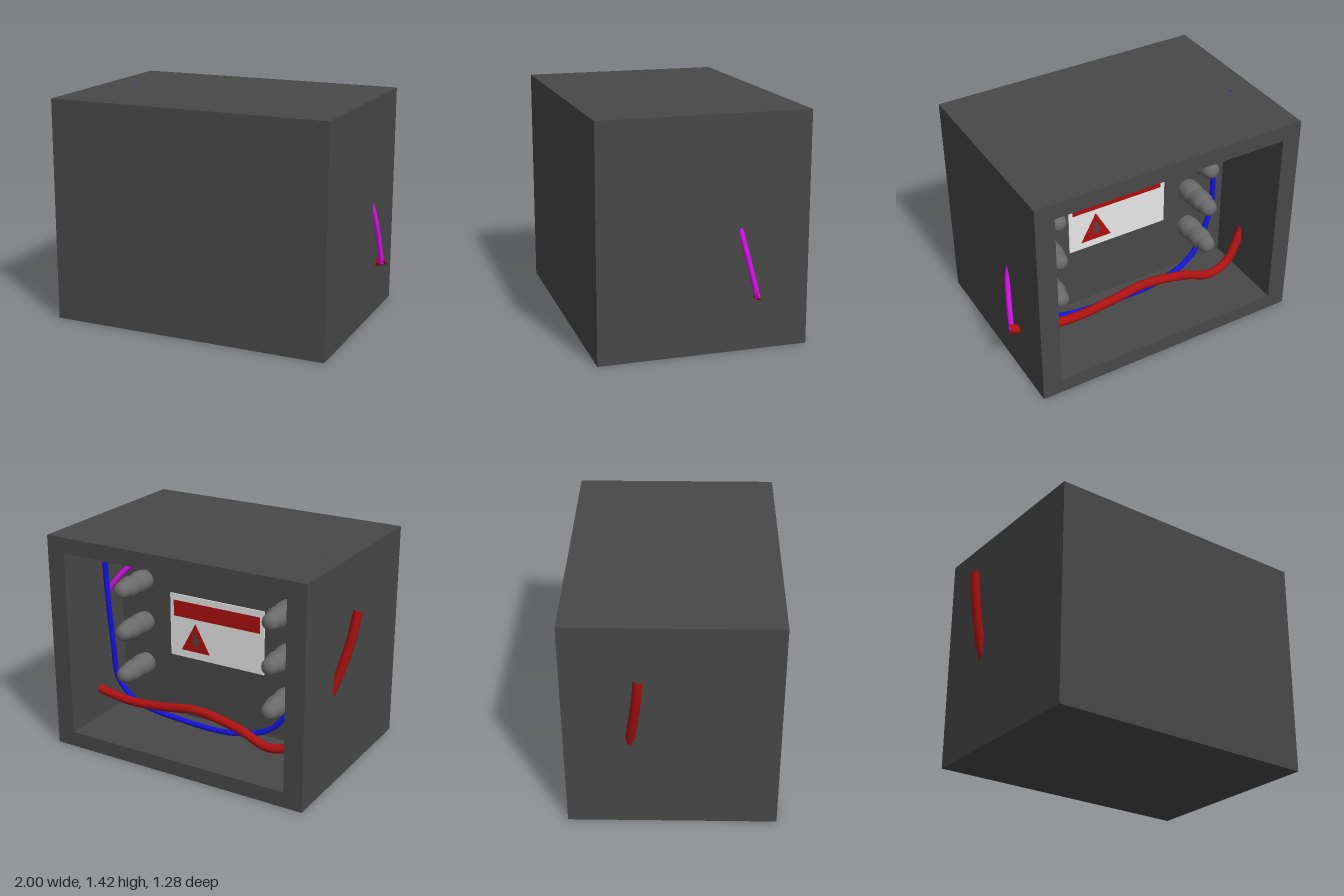
import * as THREE from 'three';

const mat = (name, color) => {
  const m = new THREE.MeshStandardMaterial({ color });
  m.name = name;
  return m;
};

export function createModel() {
  const group = new THREE.Group();
  const housing = mat('housingGrey', 0x484848);
  const insulatorGrey = mat('insulatorGrey', 0x6a6a6a);
  const red = mat('red', 0xad1111);
  const blue = mat('blue', 0x1414dc);
  const magenta = mat('magenta', 0xdc12ee);
  const white = mat('signWhite', 0xf8f8f8);

  const add = (name, geometry, material, x = 0, y = 0, z = 0) => {
    const mesh = new THREE.Mesh(geometry, material);
    mesh.name = name;
    mesh.position.set(x, y, z);
    group.add(mesh);
    return mesh;
  };
  const polygon = (pts) => new THREE.Shape(pts.map(([x, y]) => new THREE.Vector2(x, y)));
  const rect = (x0, y0, x1, y1) => polygon([[x0, y0], [x1, y0], [x1, y1], [x0, y1]]);
  const plate = (shape, depth) => new THREE.ExtrudeGeometry(shape, { depth, bevelEnabled: false });

  // Housing: solid front block and a deep frame open at the back
  const X0 = -0.87, X1 = 0.92, H = 1.415, Z = 0.64, WALL = -0.05;
  add('frontBlock', new THREE.BoxGeometry(X1 - X0, H, Z - WALL), housing,
    (X0 + X1) / 2, H / 2, (Z + WALL) / 2);
  const frame = rect(X0, 0, X1, H);
  frame.holes.push(rect(-0.746, 0.1, 0.797, 1.315));
  add('backFrame', plate(frame, Z + WALL), housing, 0, 0, -Z);

  // Two columns of rounded insulators standing out from the inner wall
  const profile = [[0.068, 0], [0.074, 0.05], [0.072, 0.09], [0.066, 0.12], [0.07, 0.16],
    [0.068, 0.2], [0.058, 0.23], [0.057, 0.25], [0.048, 0.28], [0.028, 0.298], [0, 0.304]];
  const curve = new THREE.SplineCurve(profile.map(([r, h]) => new THREE.Vector2(r, h)));
  const points = curve.getPoints(30);
  points[30].x = 0;
  const insulator = new THREE.LatheGeometry(points, 24).rotateX(-Math.PI / 2);
  for (const x of [-0.465, 0.615])
    for (const y of [0.42, 0.715, 1.005]) add('insulator', insulator, insulatorGrey, x, y, WALL);

  // Warning sign: thin plate, banner, triangle and bolt mark
  add('signPlate', plate(rect(-0.285, 0.525, 0.413, 0.953), 0.008), white, 0, 0, WALL - 0.008);
  add('signBanner', plate(rect(-0.255, 0.802, 0.385, 0.91), 0.003), red, 0, 0, WALL - 0.011);
  add('signTriangle', plate(polygon([[0.115, 0.575], [0.328, 0.575], [0.222, 0.77]]), 0.003),
    red, 0, 0, WALL - 0.011);
  add('signMark', plate(polygon([[0.215, 0.7], [0.24, 0.7], [0.225, 0.655], [0.25, 0.655],
    [0.2, 0.595], [0.215, 0.637], [0.19, 0.637]]), 0.002), housing, 0, 0, WALL - 0.013);

  // Cables
  const cable = (name, material, radius, pts) => add(name, new THREE.TubeGeometry(
    new THREE.CatmullRomCurve3(pts.map((p) => new THREE.Vector3(...p))), 90, radius, 14), material);

  cable('thickRedCable', red, 0.029, [[0.985, 0.355, -0.328], [0.9, 0.325, -0.33],
    [0.797, 0.292, -0.334], [0.544, 0.262, -0.34], [0.273, 0.283, -0.34], [0.04, 0.315, -0.34],
    [-0.27, 0.263, -0.34], [-0.48, 0.19, -0.34], [-0.63, 0.23, -0.32], [-0.75, 0.39, -0.28],
    [-0.87, 0.68, -0.24], [-0.94, 0.94, -0.205], [-0.972, 1.14, -0.185]]);

  cable('blueCable', blue, 0.018, [[0.757, 1.34, -0.28], [0.757, 1.1, -0.28], [0.75, 0.6, -0.24],
    [0.745, 0.33, -0.2], [0.61, 0.19, -0.19], [0.223, 0.132, -0.19], [-0.165, 0.143, -0.19],
    [-0.43, 0.25, -0.18], [-0.6, 0.56, -0.14], [-0.61, 0.83, -0.13], [-0.595, 1.2, -0.13],
    [-0.63, 1.33, -0.13], [-0.72, 1.405, -0.13]]);

  cable('magentaCable', magenta, 0.017, [[-0.32, 1.33, -0.09], [-0.28, 1.29, -0.1],
    [-0.235, 1.17, -0.1], [-0.08, 1.15, -0.1], [0.343, 1.17, -0.1], [0.62, 1.14, -0.15],
    [0.75, 1.01, -0.2], [0.87, 0.82, -0.21], [0.917, 0.7, -0.225], [0.945, 0.5, -0.272],
    [0.958, 0.33, -0.312]]);

  cable('thinRedCable', red, 0.017, [[0.45, 1.34, -0.1], [0.343, 1.3, -0.1], [0.05, 1.205, -0.1],
    [-0.25, 1.19, -0.1], [-0.45, 1.21, -0.1], [-0.48, 1.24, -0.1], [-0.28, 1.34, -0.1]]);

  return group;
}
